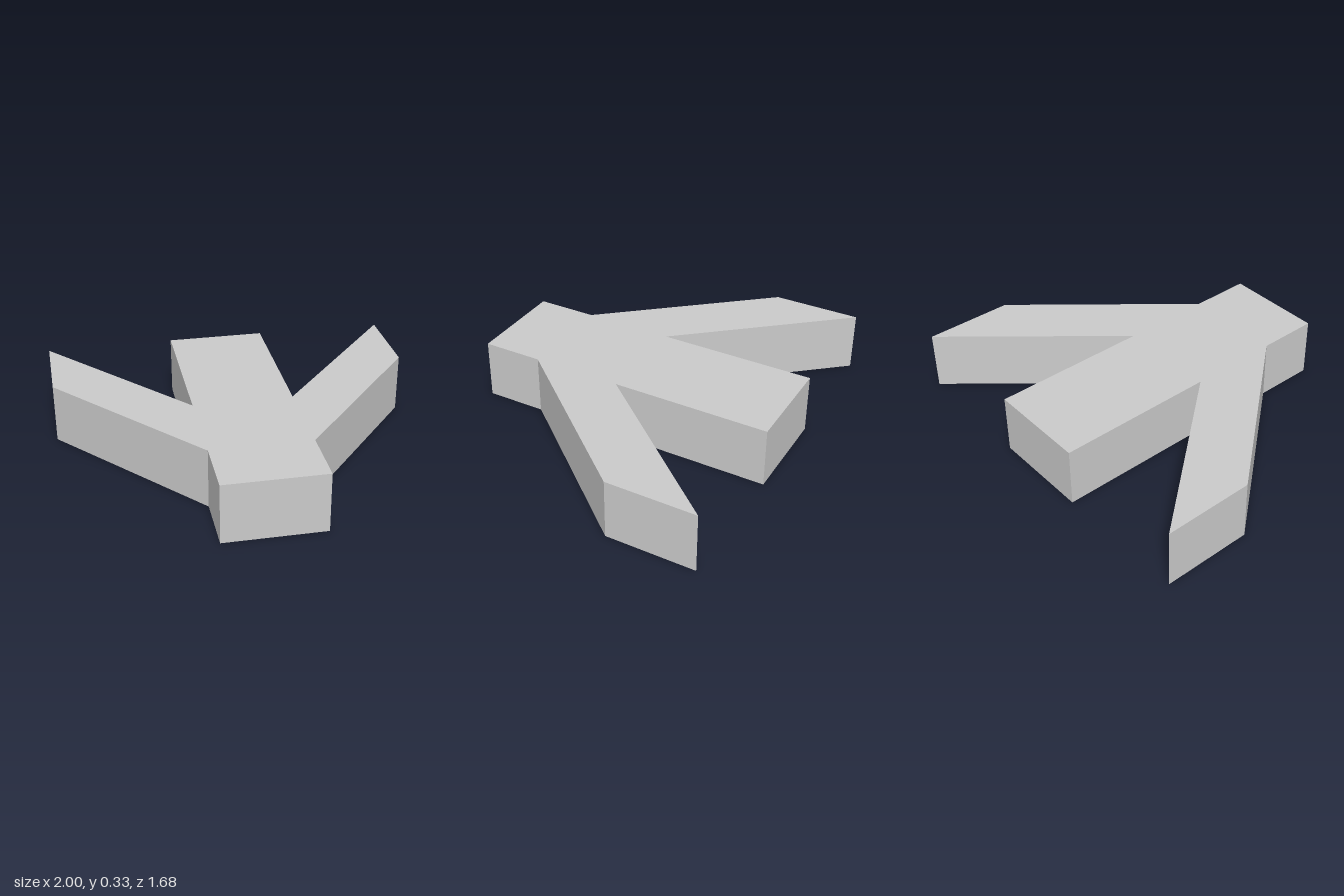
import * as THREE from 'three';

const HEIGHT = 0.33;
const HALF_BAR = 0.275;
const material = new THREE.MeshStandardMaterial({ color: 0xcccccc, flatShading: true });

// Upright slab from a plan outline of [x, z] corners
function slab(name, outline) {
  const shape = new THREE.Shape(outline.map(([x, z]) => new THREE.Vector2(x, -z)));
  const geometry = new THREE.ExtrudeGeometry(shape, { depth: HEIGHT, bevelEnabled: false });
  geometry.rotateX(-Math.PI / 2);
  const mesh = new THREE.Mesh(geometry, material);
  mesh.name = name;
  return mesh;
}

export function createModel() {
  const group = new THREE.Group();
  group.name = 'threeProngedBlock';

  // Straight central bar
  group.add(slab('centralBar', [
    [-HALF_BAR, 0.842], [HALF_BAR, 0.842], [HALF_BAR, -0.842], [-HALF_BAR, -0.842],
  ]));

  // Slanted arms sweeping back from each side of the bar
  for (const [name, side] of [['leftArm', 1], ['rightArm', -1]]) {
    group.add(slab(name, [
      [side * HALF_BAR, 0.51], [side, -0.345], [side, -0.832], [side * HALF_BAR, 0.02],
    ]));
  }
  return group;
}
